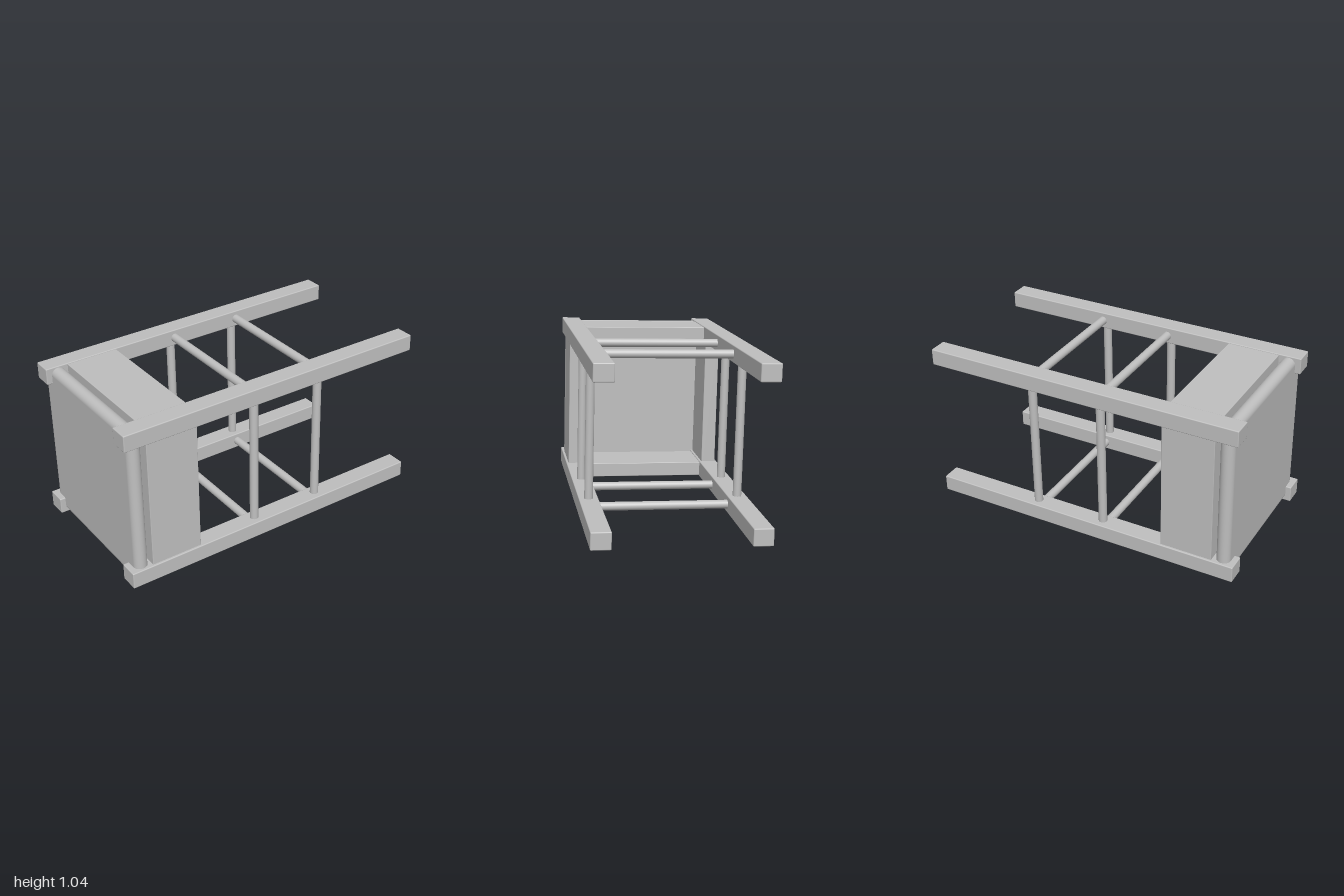
import * as THREE from 'three';
import { RoundedBoxGeometry } from 'three/addons/geometries/RoundedBoxGeometry.js';

// A four-legged stool lying on its side: legs run along x, seat at the -x end.
export function createModel() {
  const model = new THREE.Group();
  model.name = 'stool';
  const grey = new THREE.MeshStandardMaterial({ color: 0xbfbfbf });
  grey.name = 'plain grey';

  const HY = 0.457, HZ = 0.449; // leg centre lines
  const body = new THREE.Group();
  body.name = 'stoolBody';
  body.position.y = 0.524;
  body.rotation.x = -0.027; // slight roll
  model.add(body);

  const add = (name, geometry, x, y, z) => {
    const mesh = new THREE.Mesh(geometry, grey);
    mesh.name = name;
    mesh.position.set(x, y, z);
    body.add(mesh);
    return mesh;
  };

  // Round bar on one of the four sides, spanning between two leg centre lines
  const sideBar = (name, x, radius, alongY, side) => {
    const length = 2 * (alongY ? HY : HZ);
    const bar = add(name, new THREE.CylinderGeometry(radius, radius, length, 32),
      x, alongY ? 0 : side * HY, alongY ? side * HZ : 0);
    if (!alongY) bar.rotation.x = Math.PI / 2;
  };

  // Legs
  for (const sy of [-1, 1]) for (const sz of [-1, 1])
    add('leg', new RoundedBoxGeometry(2, 0.103, 0.117, 2, 0.006), 0, sy * HY, sz * HZ);

  // Seat slab, finished with a rounded edge on each side
  add('seat', new THREE.BoxGeometry(0.086, 2 * HY, 2 * HZ), -0.922, 0, 0);

  for (const side of [-1, 1]) {
    for (const alongY of [true, false]) {
      sideBar('seatEdge', -0.922, 0.043, alongY, side);
      for (const x of [-0.125, 0.33]) sideBar('rung', x, 0.026, alongY, side);
    }
    // Apron boards below the seat
    add('apron', new RoundedBoxGeometry(0.325, 2 * HY, 0.09, 2, 0.004), -0.6975, 0, side * HZ);
    add('apron', new RoundedBoxGeometry(0.325, 0.09, 2 * HZ, 2, 0.004), -0.6975, side * HY, 0);
  }
  return model;
}
